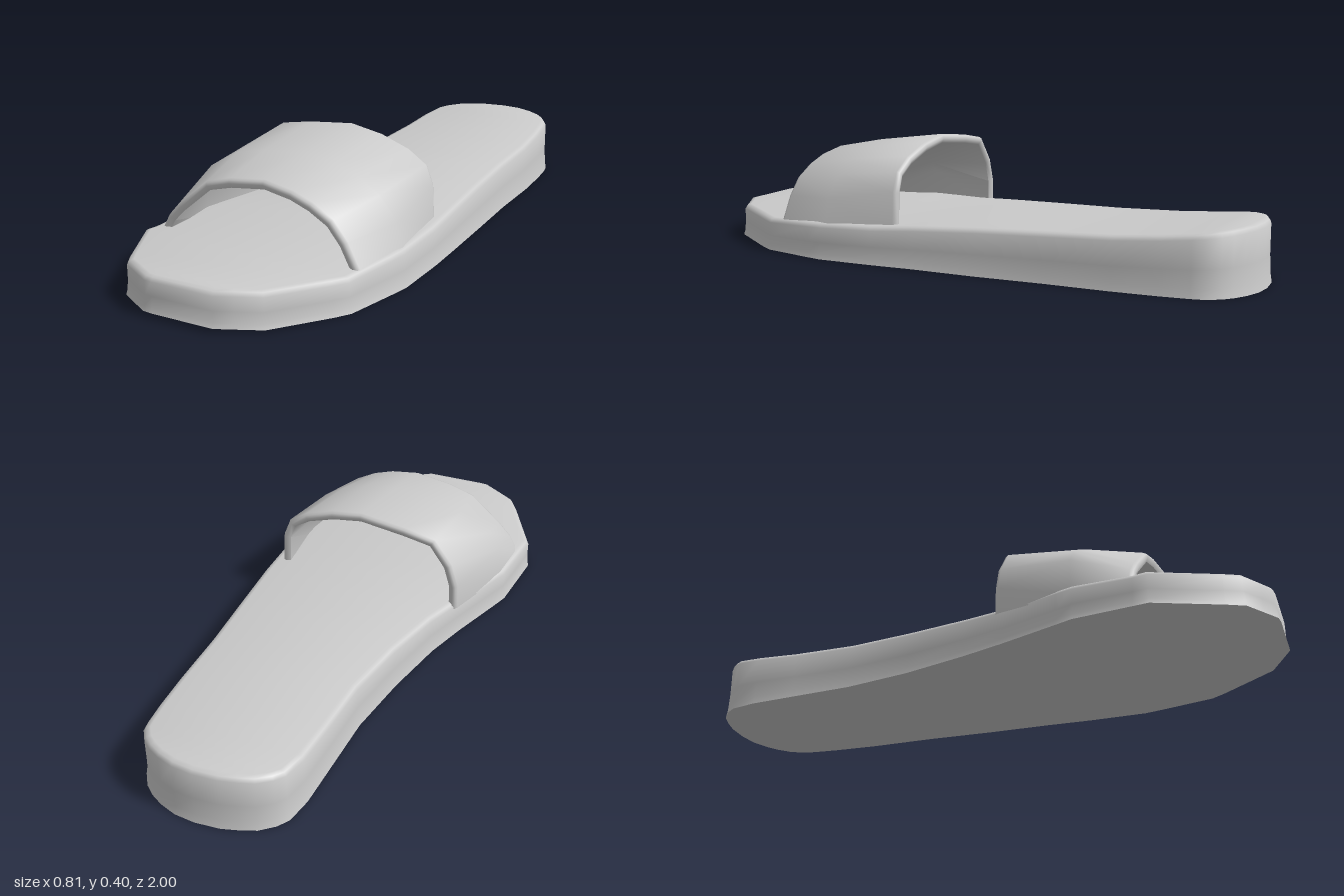
import * as THREE from 'three';
import { toCreasedNormals } from 'three/addons/utils/BufferGeometryUtils.js';

const material = new THREE.MeshStandardMaterial({ color: 0xcccccc, side: THREE.DoubleSide });

// Piecewise linear curve through [position, value] pairs
function curve(points) {
  return t => {
    let i = 1;
    while (i < points.length - 1 && t > points[i][0]) i++;
    const [a, va] = points[i - 1], [b, vb] = points[i];
    return va + (vb - va) * THREE.MathUtils.clamp((t - a) / (b - a), 0, 1);
  };
}

// Quads between consecutive rows of points
function skin(rows, closeRows, closeCols, indices = []) {
  const n = rows[0].length, m = rows.length;
  for (let r = 0; r < (closeRows ? m : m - 1); r++) {
    for (let i = 0; i < (closeCols ? n : n - 1); i++) {
      const s = (r + 1) % m, j = (i + 1) % n;
      indices.push(r * n + i, r * n + j, s * n + j, r * n + i, s * n + j, s * n + i);
    }
  }
  return indices;
}

function makeMesh(name, rows, indices, crease) {
  const geometry = new THREE.BufferGeometry();
  geometry.setAttribute('position', new THREE.Float32BufferAttribute(rows.flat(2), 3));
  geometry.setIndex(indices);
  const mesh = new THREE.Mesh(toCreasedNormals(geometry, crease), material);
  mesh.name = name;
  return mesh;
}

function createSole() {
  // Footprint rows from heel to toe: z, inner x, outer x
  const footprint = [
    [-1, -0.03, 0.04], [-0.985, -0.11, 0.1], [-0.965, -0.16, 0.145], [-0.94, -0.21, 0.18],
    [-0.9, -0.25, 0.212], [-0.86, -0.272, 0.225], [-0.77, -0.28, 0.245], [-0.62, -0.272, 0.27],
    [-0.4, -0.26, 0.295], [-0.17, -0.275, 0.33], [0.05, -0.305, 0.365], [0.2, -0.338, 0.385],
    [0.4, -0.39, 0.402], [0.46, -0.405, 0.397], [0.65, -0.405, 0.375], [0.7, -0.405, 0.35],
    [0.89, -0.28, 0.25], [0.94, -0.24, 0.18], [0.975, -0.165, 0.13], [1, -0.11, -0.08],
  ];
  const topY = curve([[-1, 0.203], [-0.8, 0.182], [-0.6, 0.167], [-0.2, 0.153], [0, 0.147],
    [0.12, 0.132], [0.4, 0.122], [0.65, 0.111], [0.8, 0.115], [0.95, 0.124], [1, 0.126]]);
  const bottomY = curve([[-1, 0], [-0.1, 0], [0.1, 0.004], [0.3, 0], [0.7, 0.001], [0.85, 0.006], [1, 0.016]]);

  const outline = [
    ...footprint.map(([z, , x]) => [x, z]),
    ...footprint.map(([z, x]) => [x, z]).reverse(),
  ];
  const n = outline.length, half = footprint.length;

  // Inward direction at each outline point
  const inward = outline.map((p, i) => {
    const a = outline[(i + n - 1) % n], b = outline[(i + 1) % n];
    return new THREE.Vector2(-(b[1] - a[1]), b[0] - a[0]).normalize();
  });

  // Wall rings from rounded top rim to base: inset, height fraction, drop
  const profile = [[0.03, 1, 0], [0.016, 1, 0.004], [0.008, 1, 0.016], [0.008, 0.45, 0], [0.005, 0.15, 0], [0, 0, 0]];
  const rings = profile.map(([inset, f, drop]) => outline.map(([x, z], i) => {
    const low = bottomY(z);
    return [x + inward[i].x * inset, low + (topY(z) - low) * f - drop, z + inward[i].y * inset];
  }));

  // Footbed and underside strips joining the two edges
  const indices = skin(rings, false, true);
  const base = (rings.length - 1) * n;
  for (let k = 0; k < half - 1; k++) {
    const l = n - 1 - k, l2 = l - 1, r = k, r2 = k + 1;
    indices.push(l, l2, r, r, l2, r2);
    indices.push(base + l, base + r, base + l2, base + r, base + r2, base + l2);
  }
  return makeMesh('sole', rings, indices, 1.0);
}

function createStrap() {
  // Arches from front to back: z at each end, then [x, y] points across the foot
  const arches = [
    { z: [0.645, 0.6], points: [[-0.38, 0.095], [-0.345, 0.155], [-0.3, 0.2], [-0.19, 0.29], [-0.1, 0.315],
      [0.03, 0.332], [0.13, 0.315], [0.2, 0.29], [0.27, 0.25], [0.32, 0.19], [0.37, 0.095]] },
    { z: [0.45, 0.39], points: [[-0.386, 0.095], [-0.374, 0.215], [-0.33, 0.268], [-0.225, 0.33], [-0.12, 0.352],
      [0.03, 0.368], [0.14, 0.352], [0.23, 0.32], [0.3, 0.275], [0.358, 0.2], [0.384, 0.095]] },
    { z: [0.175, 0.125], points: [[-0.333, 0.11], [-0.33, 0.2], [-0.305, 0.28], [-0.24, 0.365], [-0.13, 0.385],
      [0.03, 0.402], [0.14, 0.383], [0.24, 0.348], [0.305, 0.305], [0.33, 0.24], [0.336, 0.11]] },
  ];
  const thickness = 0.03;

  // One line across the strap, sunk below its surface and shifted along z
  const line = ({ z, points }, depth, shift) => points.map(([x, y], i) => {
    const a = points[Math.max(i - 1, 0)], b = points[Math.min(i + 1, points.length - 1)];
    const d = new THREE.Vector2(b[0] - a[0], b[1] - a[1]).normalize();
    const t = (x + 0.38) / 0.76;
    return [x + d.y * depth, y - d.x * depth, z[0] + (z[1] - z[0]) * t + shift];
  });

  const [front, middle, back] = arches;
  const rows = [
    line(front, thickness / 2, 0), line(front, 0.005, -0.004), line(front, 0, -0.014),
    line(middle, 0, 0),
    line(back, 0, 0.014), line(back, 0.005, 0.004), line(back, thickness / 2, 0),
    line(back, thickness, 0.008), line(middle, thickness, 0), line(front, thickness, -0.008),
  ];
  return makeMesh('strap', rows, skin(rows, true, false), 1.2);
}

export function createModel() {
  const model = new THREE.Group();
  model.name = 'slideSandal';
  model.add(createSole(), createStrap());
  return model;
}
